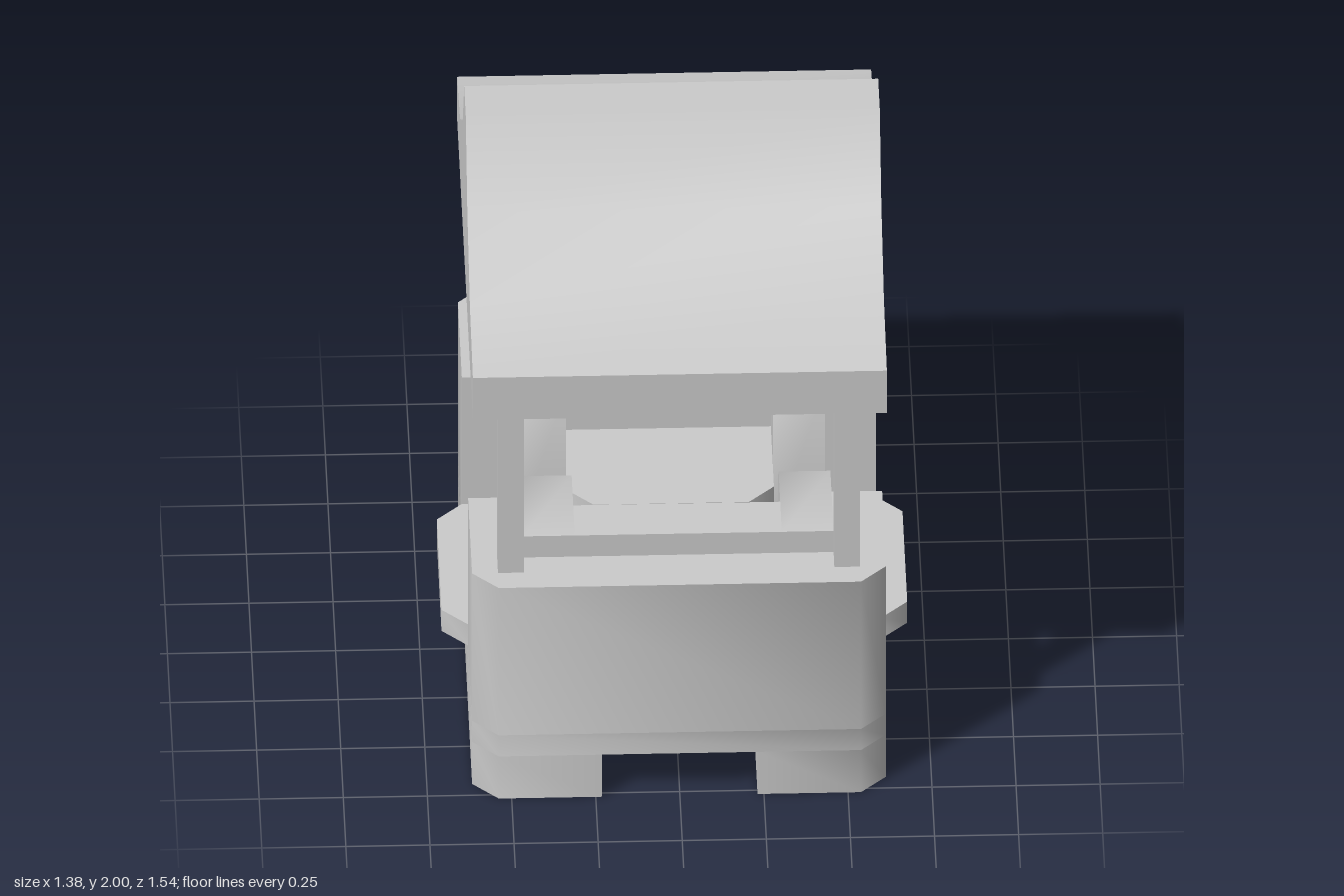
import * as THREE from 'three';
import { toCreasedNormals } from 'three/addons/utils/BufferGeometryUtils.js';

const U = 1 / 13; // grid module of the design
const CREASE = 0.9;
const material = new THREE.MeshStandardMaterial({ color: 0xcccccc });

function mesh(name, geometry) {
  const m = new THREE.Mesh(geometry, material);
  m.name = name;
  return m;
}

function extrude(points, depth) {
  const shape = new THREE.Shape(points.map(([a, b]) => new THREE.Vector2(a * U, b * U)));
  return new THREE.ExtrudeGeometry(shape, { depth: depth * U, bevelEnabled: false });
}

// Outline given as (x, z), raised from y0 to y1
function plan(name, points, y0, y1) {
  const g = extrude(points.map(([x, z]) => [x, -z]), y1 - y0);
  g.rotateX(-Math.PI / 2).translate(0, y0 * U, 0);
  return mesh(name, toCreasedNormals(g, CREASE));
}

// Outline given as (z, y), swept from x0 to x1
function profile(name, points, x0, x1) {
  const g = extrude(points.map(([z, y]) => [-z, y]), x1 - x0);
  g.rotateY(Math.PI / 2).translate(x0 * U, 0, 0);
  return mesh(name, toCreasedNormals(g, CREASE));
}

function box(name, x0, x1, y0, y1, z0, z1) {
  const g = new THREE.BoxGeometry((x1 - x0) * U, (y1 - y0) * U, (z1 - z0) * U);
  g.translate((x0 + x1) / 2 * U, (y0 + y1) / 2 * U, (z0 + z1) / 2 * U);
  return mesh(name, g);
}

// One end of the cabin: wall, backrest, armrests, seat and posts
function createEnd(name) {
  const end = new THREE.Group();
  end.name = name;
  end.add(plan('endWall', [
    [8, 4], [8, 9], [7, 10], [-7, 10], [-8, 9], [-8, 4],
    [-6, 4], [-6, 8], [6, 8], [6, 4],
  ], 3, 10));
  end.add(box('backrest', -4, 4, 3, 11, 6, 8));
  end.add(plan('seat', [[4, 6], [4, 2], [3, 1], [-3, 1], [-4, 2], [-4, 6]], 3, 6));
  const arm = [[8, 3], [8, 11], [4, 11], [3, 10], [3, 3]];
  end.add(profile('leftArmrest', arm, 4, 6));
  end.add(profile('rightArmrest', arm, -6, -4));
  for (const x of [-7, 6]) end.add(box('roofPost', x, x + 1, 10, 18, 8, 9));
  return end;
}

export function createModel() {
  const model = new THREE.Group();
  model.name = 'coveredCabin';

  // Base with a channel running lengthwise underneath
  model.add(plan('base', [
    [8, 9], [7, 10], [-7, 10], [-8, 9], [-8, -9], [-7, -10], [7, -10], [8, -9],
  ], 2, 3));
  for (const s of [1, -1]) {
    model.add(plan(s > 0 ? 'leftSkid' : 'rightSkid', [
      [3 * s, 10], [7 * s, 10], [8 * s, 9], [8 * s, -9], [7 * s, -10], [3 * s, -10],
    ], 0, 2));
  }

  // Floor that steps out past both doorways
  model.add(plan('floorStep', [
    [8, 4], [9, 3], [9, -3], [8, -4], [-8, -4], [-9, -3], [-9, 3], [-8, 4],
  ], 3, 4));

  // Two identical ends facing each other
  const front = createEnd('frontEnd');
  const back = createEnd('backEnd');
  back.rotation.y = Math.PI;
  model.add(front, back);

  // Flared roof with a flat ridge
  const half = [[10, 18], [10, 20], [6.25, 20.7], [3, 22.85], [1, 26]];
  const mirrored = half.map(([z, y]) => [-z, y]).reverse();
  model.add(profile('roof', [...half, ...mirrored], -8, 8));

  return model;
}
